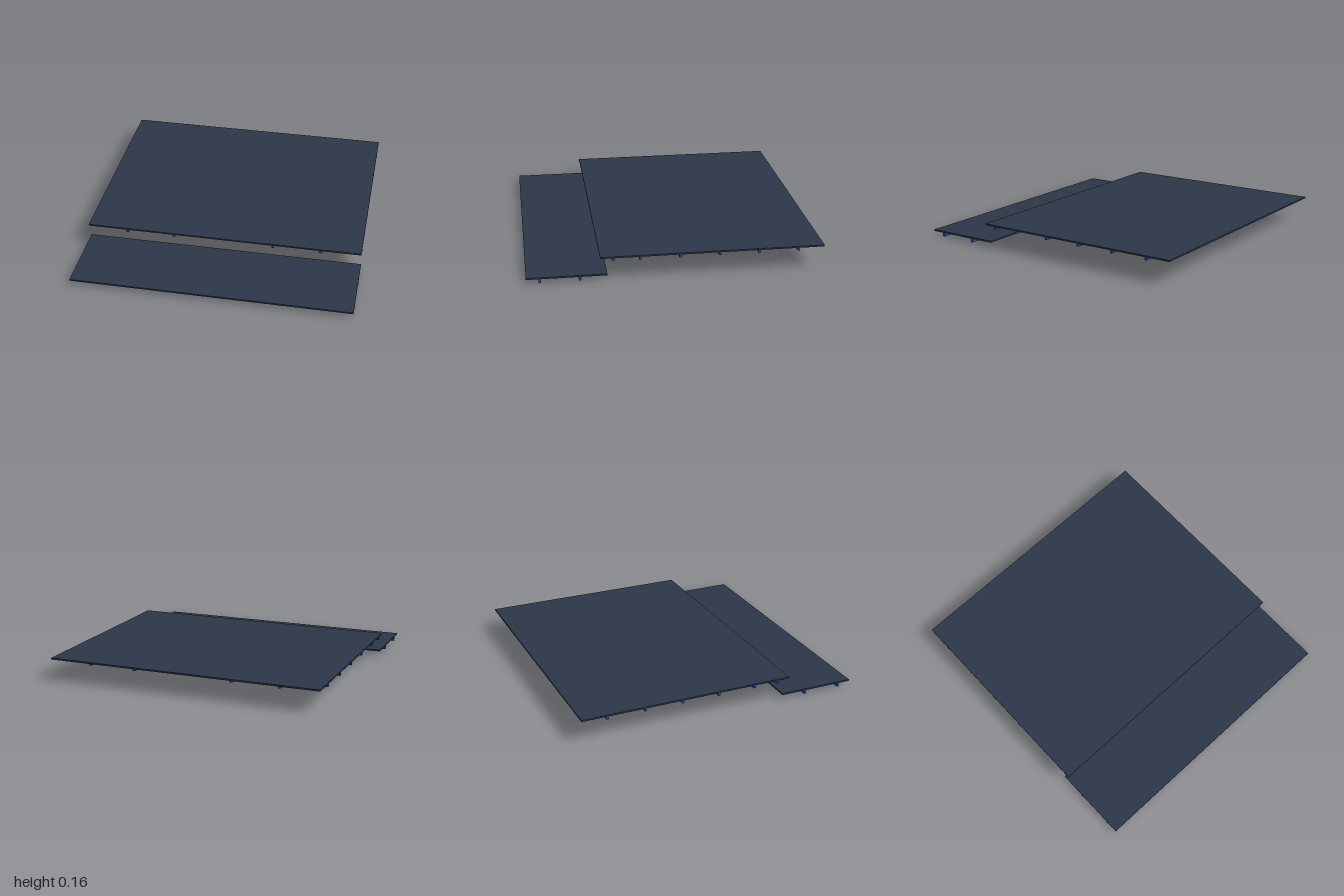
import * as THREE from 'three';

const panelMat = new THREE.MeshStandardMaterial({ name: 'slate panel', color: 0x2d3748 });
const frameMat = new THREE.MeshStandardMaterial({ name: 'blue frame', color: 0x2a4f9c });

const WIDTH = 1.95;

// Box placed by its lower and upper limits in y and z, centred at x
function addBox(group, name, mat, x, w, y0, y1, z0, z1) {
  const mesh = new THREE.Mesh(new THREE.BoxGeometry(w, y1 - y0, z1 - z0), mat);
  mesh.position.set(x, (y0 + y1) / 2, (z0 + z1) / 2);
  mesh.name = name;
  group.add(mesh);
}

// Flat panel carried by cross rails; base is the underside of the rails
function deck(name, base, z0, z1, railZ, railHeight) {
  const group = new THREE.Group();
  group.name = name;
  addBox(group, 'panel', panelMat, 0, WIDTH, base + 0.027, base + 0.038, z0, z1);
  for (const z of railZ) {
    addBox(group, 'crossRail', frameMat, 0, WIDTH, base + 0.027 - railHeight, base + 0.027, z - 0.008, z + 0.008);
  }
  return group;
}

export function createModel() {
  const model = new THREE.Group();
  model.name = 'steppedPanels';

  // Low front deck
  model.add(deck('lowerDeck', 0, 0.465, 1, [0.91, 0.645], 0.027));

  // Raised rear deck
  const upper = deck('upperDeck', 0.12, -1, 0.51, [0.425, 0.245, -0.022, -0.288, -0.555, -0.822], 0.02);

  // Long beams running front to back beneath the cross rails
  for (const x of [-0.69, -0.355, 0.355, 0.69]) {
    addBox(upper, 'longBeam', frameMat, x, 0.018, 0.124, 0.141, -0.965, 0.505);
  }
  model.add(upper);
  return model;
}
